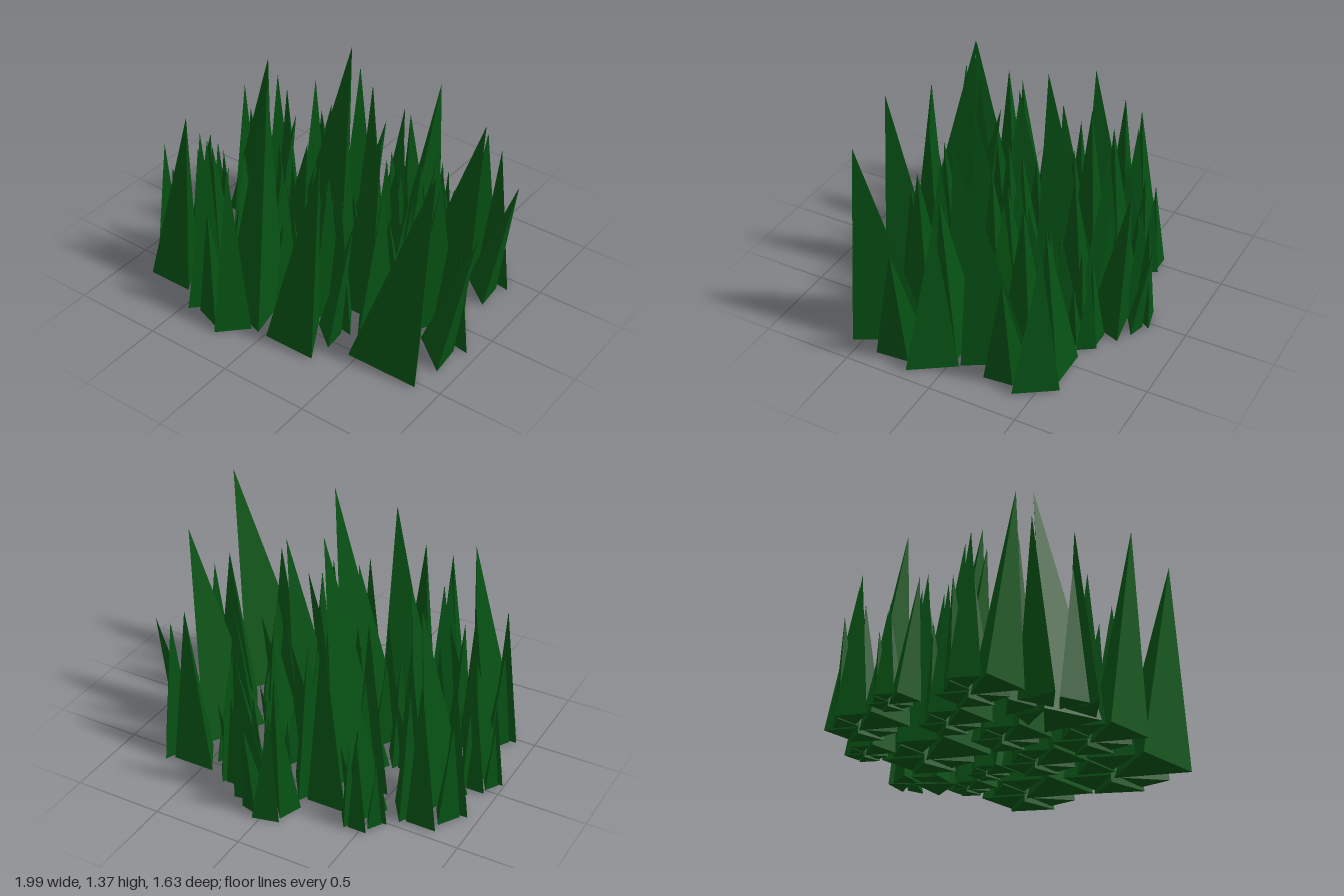
import * as THREE from 'three';

// One blade: three base corners [x, z] and a tip [x, height, z], in clump units
const BLADES = [
  { name: 'mainBlade', base: [[0, 0], [-0.40, 0.68], [0.38, 0.68]], tip: [0.41, 1, 0.50] },
  { name: 'rightBlade', base: [[0.03, 0.05], [0.43, 0.37], [0.40, 0.03]], tip: [0.60, 0.61, 0.04] },
  { name: 'backRightBlade', base: [[0.23, -0.45], [0.52, -0.02], [0.06, -0.09]], tip: [0.22, 0.69, -0.21] },
  { name: 'backBlade', base: [[-0.35, -0.38], [0.15, -0.38], [-0.10, 0.03]], tip: [0.05, 0.76, -0.18] },
  { name: 'backLeftBlade', base: [[-0.53, 0.12], [-0.13, 0.12], [-0.32, -0.22]], tip: [-0.40, 0.53, 0.02] },
  { name: 'leftBlade', base: [[-0.64, 0.16], [-0.20, 0.14], [-0.38, 0.57]], tip: [-0.30, 0.73, 0.27] },
];

// Clumps: x, z, width scale, height, turn in degrees
const CLUMPS = [
  [0.67, 0.18, 0.535, 1.26, 0],
  [0.60, -0.39, 0.48, 1.19, 0],
  [-0.21, -0.37, 0.445, 1.36, 0],
  [-0.73, -0.32, 0.337, 1.09, 0],
  [-0.47, -0.555, 0.21, 0.72, 0],
  [0.28, -0.535, 0.214, 0.70, 0],
  [0.168, -0.29, 0.214, 0.72, 0],
  [-0.865, 0.035, 0.205, 0.68, 0],
  [-0.48, 0.05, 0.295, 0.99, 0],
  [-0.136, 0.11, 0.32, 0.99, 0],
  [0.243, 0.0, 0.358, 1.08, 0],
  [-0.69, 0.405, 0.337, 1.10, 0],
  [0.174, 0.42, 0.385, 1.21, 0],
  [-0.347, 0.57, 0.41, 1.35, 102],
  [-0.005, -0.66, 0.285, 0.93, 70],
];

// Closed three-sided spike with flat faces
function bladeGeometry({ base, tip }) {
  let area = 0;
  base.forEach(([x, z], i) => {
    const [nx, nz] = base[(i + 1) % 3];
    area += x * nz - nx * z;
  });
  const ring = (area < 0 ? base : [...base].reverse()).map(([x, z]) => [x, 0, z]);
  const points = [...ring].reverse();
  ring.forEach((p, i) => points.push(p, ring[(i + 1) % 3], tip));
  const geometry = new THREE.BufferGeometry();
  geometry.setAttribute('position', new THREE.Float32BufferAttribute(points.flat(), 3));
  geometry.computeVertexNormals();
  return geometry;
}

export function createModel() {
  const model = new THREE.Group();
  model.name = 'grassPatch';
  const green = new THREE.MeshStandardMaterial({ color: 0x065214, flatShading: true });
  const geometries = BLADES.map(bladeGeometry);

  CLUMPS.forEach(([x, z, width, height, turn]) => {
    const clump = new THREE.Group();
    clump.name = 'grassClump';
    geometries.forEach((geometry, i) => {
      const blade = new THREE.Mesh(geometry, green);
      blade.name = BLADES[i].name;
      clump.add(blade);
    });
    clump.position.set(x, turn ? 0 : 0.01, z);
    clump.rotation.y = THREE.MathUtils.degToRad(turn);
    clump.scale.set(width, height, width);
    model.add(clump);
  });
  return model;
}
